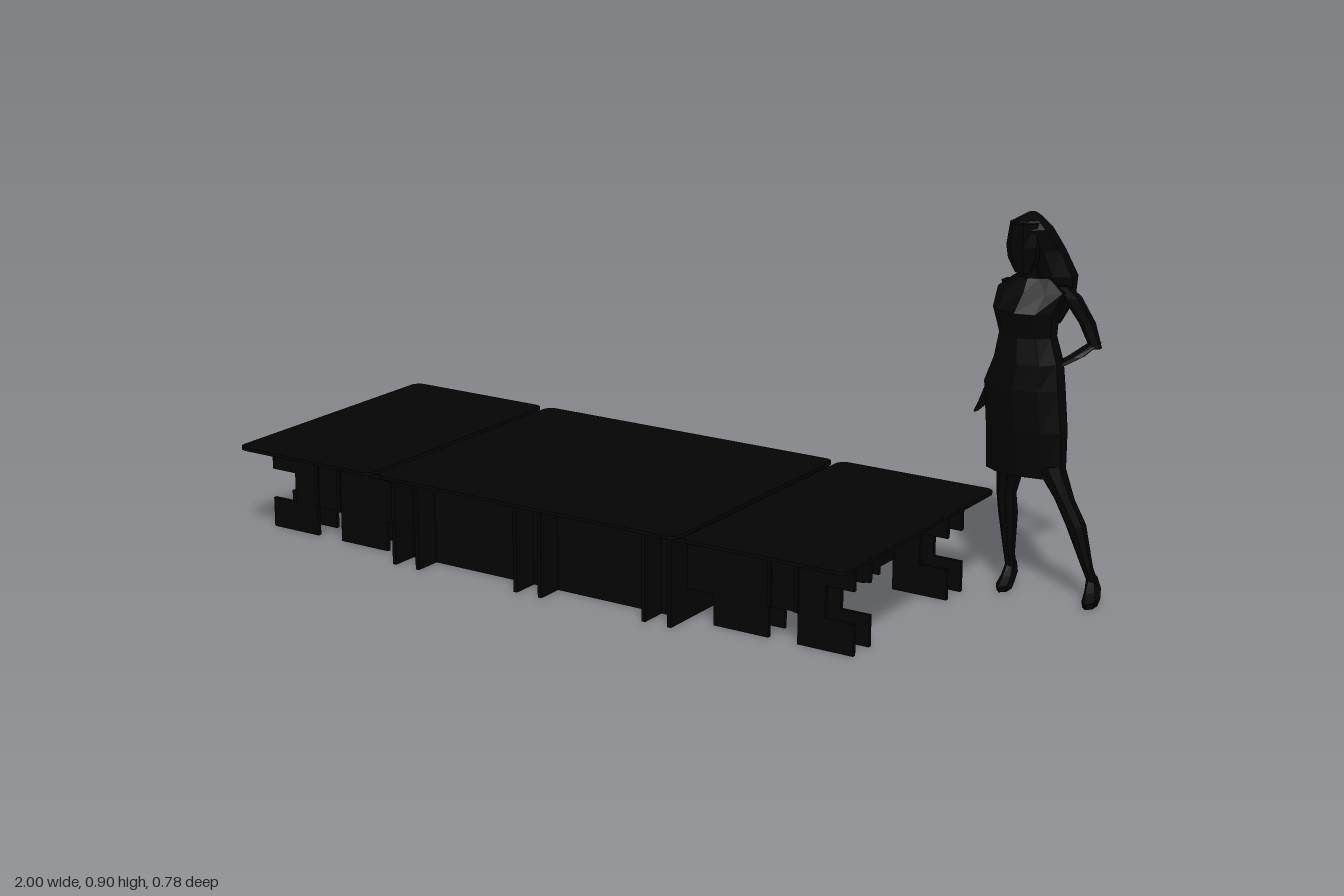
import * as THREE from 'three';

const BLACK = new THREE.MeshStandardMaterial({ color: 0x040404, flatShading: true });
const T = 0.01; // sheet thickness

export function createModel() {
  const model = new THREE.Group();

  function add(parent, name, geometry) {
    const mesh = new THREE.Mesh(geometry, BLACK);
    mesh.name = name;
    parent.add(mesh);
    return mesh;
  }

  // Flat sheet from an outline, with round holes, centred on its thickness
  function sheet(points, holes) {
    const shape = new THREE.Shape(points.map(([x, y]) => new THREE.Vector2(x, y)));
    for (const [x, y, r] of holes) {
      const hole = new THREE.Path();
      hole.absarc(x, y, r, 0, Math.PI * 2, true);
      shape.holes.push(hole);
    }
    const g = new THREE.ExtrudeGeometry(shape, { depth: T, bevelEnabled: false, curveSegments: 10 });
    return g.translate(0, 0, -T / 2);
  }

  // Table tops with rounded corners
  const table = new THREE.Group();
  table.name = 'table';
  model.add(table);
  function tableTop(x0, x1) {
    const z0 = -0.321, z1 = 0.39, r = 0.025, s = new THREE.Shape();
    s.absarc(x1 - r, -z0 - r, r, 0, Math.PI / 2);
    s.absarc(x0 + r, -z0 - r, r, Math.PI / 2, Math.PI);
    s.absarc(x0 + r, -z1 + r, r, Math.PI, Math.PI * 1.5);
    s.absarc(x1 - r, -z1 + r, r, Math.PI * 1.5, Math.PI * 2);
    const g = new THREE.ExtrudeGeometry(s, { depth: 0.008, bevelEnabled: false, curveSegments: 5 });
    add(table, 'tableTop', g.rotateX(-Math.PI / 2).translate(0, 0.219, 0));
  }
  tableTop(-1, -0.583);
  tableTop(-0.567, 0.287);
  tableTop(0.303, 0.722);

  // Strips below the joints between the tops
  for (const x of [-0.575, 0.295]) {
    add(table, 'joiningStrip', new THREE.BoxGeometry(0.07, 0.012, 0.655).translate(x, 0.213, 0.036));
  }

  // Long boards: notched ends and openings along the foot, mirrored about x = -0.14
  const H = 0.22, N = 0.075, MID = -0.14;
  const half = [[0.4, 0], [0.4, N], [0.47, N], [0.47, 0], [0.615, 0], [0.615, N], [0.69, N], [0.69, 0],
    [0.832, 0], [0.832, N], [0.76, N], [0.76, 0.15], [0.832, 0.15], [0.832, H]];
  const longOutline = [
    ...half.map(([x, y]) => [MID + x, y]),
    ...half.map(([x, y]) => [MID - x, y]).reverse(),
  ];
  const crossX = [-0.5, -0.14, 0.22];
  const longHoles = crossX.map((x) => [x, 0.11, 0.014]);
  for (const z of [0.255, -0.18]) {
    for (const d of [-0.035, 0.035]) {
      add(table, 'longBoard', sheet(longOutline, longHoles).translate(0, 0, z + d));
    }
  }
  const middleOutline = [[-0.54, 0], [0.26, 0], [0.26, H], [-0.54, H]];
  for (const z of [-0.004, 0.078]) {
    add(table, 'middleBoard', sheet(middleOutline, longHoles).translate(0, 0, z));
  }

  // Cross boards in pairs (outline runs along -z)
  const crossHoles = [[-0.255, 0.11, 0.014], [-0.037, 0.11, 0.014], [-0.037, 0.183, 0.014], [0.18, 0.11, 0.014]];
  const crossOutline = [[-0.363, 0], [-0.074, 0], [-0.074, N], [0, N], [0, 0], [0.29, 0], [0.29, H], [-0.363, H]];
  const endOutline = [[-0.3, N], [0.225, N], [0.225, H], [-0.3, H]];
  function crossPair(name, x, outline) {
    for (const d of [-0.035, 0.035]) {
      add(table, name, sheet(outline, crossHoles).rotateY(Math.PI / 2).translate(x + d, 0, 0));
    }
  }
  crossX.forEach((x) => crossPair('crossBoard', x, crossOutline));
  [-0.793, 0.513].forEach((x) => crossPair('endCrossBoard', x, endOutline));

  // Standing figure, lofted from level rings [x, y, z, radiusX, radiusZ], bottom to top
  const figure = new THREE.Group();
  figure.name = 'standingFigure';
  model.add(figure);
  function loft(name, rings, sides = 8) {
    const pos = [], index = [];
    for (const [x, y, z, rx, rz] of rings) {
      for (let i = 0; i < sides; i++) {
        const a = ((i + 0.5) / sides) * Math.PI * 2;
        pos.push(x + rx * Math.cos(a), y, z + rz * Math.sin(a));
      }
    }
    for (let k = 0; k < rings.length - 1; k++) {
      for (let i = 0; i < sides; i++) {
        const a = k * sides + i, b = k * sides + ((i + 1) % sides);
        index.push(a, a + sides, b, b, a + sides, b + sides);
      }
    }
    const top = (rings.length - 1) * sides;
    for (let i = 1; i < sides - 1; i++) {
      index.push(0, i, i + 1, top, top + i + 1, top + i);
    }
    const g = new THREE.BufferGeometry();
    g.setAttribute('position', new THREE.Float32BufferAttribute(pos, 3));
    g.setIndex(index);
    g.computeVertexNormals();
    add(figure, name, g);
  }

  loft('dress', [
    [0.805, 0.29, -0.303, 0.1, 0.045], [0.803, 0.4, -0.303, 0.1, 0.06],
    [0.795, 0.5, -0.302, 0.098, 0.067], [0.803, 0.56, -0.302, 0.083, 0.063],
    [0.8, 0.62, -0.3, 0.068, 0.056], [0.797, 0.68, -0.292, 0.078, 0.064],
    [0.805, 0.725, -0.308, 0.085, 0.05], [0.805, 0.755, -0.312, 0.045, 0.035],
  ], 10);
  loft('neck', [[0.803, 0.74, -0.305, 0.026, 0.028], [0.8, 0.79, -0.295, 0.026, 0.028]], 6);
  loft('head', [
    [0.795, 0.768, -0.275, 0.02, 0.018], [0.795, 0.8, -0.275, 0.036, 0.036],
    [0.795, 0.83, -0.278, 0.041, 0.047], [0.797, 0.885, -0.284, 0.036, 0.053],
  ]);
  loft('hair', [
    [0.83, 0.64, -0.355, 0.025, 0.012], [0.835, 0.7, -0.352, 0.055, 0.027],
    [0.83, 0.76, -0.332, 0.073, 0.04], [0.815, 0.82, -0.319, 0.06, 0.042],
    [0.803, 0.87, -0.297, 0.046, 0.053], [0.8, 0.89, -0.292, 0.03, 0.04],
    [0.8, 0.902, -0.3, 0.01, 0.014],
  ]);

  // Arms: the right one hangs, the left hand rests on the hip
  loft('rightArm', [
    [0.647, 0.4, -0.353, 0.005, 0.008], [0.658, 0.42, -0.37, 0.012, 0.018],
    [0.685, 0.49, -0.37, 0.012, 0.012], [0.717, 0.57, -0.37, 0.018, 0.017],
    [0.736, 0.66, -0.35, 0.02, 0.024], [0.742, 0.735, -0.322, 0.021, 0.024],
  ], 6);
  loft('leftUpperArm', [
    [0.942, 0.592, -0.36, 0.014, 0.015], [0.922, 0.65, -0.353, 0.019, 0.02],
    [0.89, 0.71, -0.335, 0.022, 0.024], [0.87, 0.738, -0.32, 0.018, 0.02],
  ], 6);
  loft('leftForearm', [
    [0.868, 0.55, -0.315, 0.018, 0.013], [0.905, 0.573, -0.335, 0.02, 0.014],
    [0.94, 0.605, -0.36, 0.015, 0.015],
  ], 6);

  // Legs
  loft('rightLeg', [
    [0.763, 0.03, -0.335, 0.012, 0.018], [0.762, 0.08, -0.32, 0.013, 0.016],
    [0.757, 0.18, -0.317, 0.022, 0.028], [0.757, 0.23, -0.305, 0.022, 0.028],
    [0.77, 0.32, -0.3, 0.035, 0.04],
  ]);
  loft('leftLeg', [
    [0.976, 0.03, -0.335, 0.012, 0.018], [0.962, 0.08, -0.32, 0.013, 0.016],
    [0.93, 0.18, -0.317, 0.023, 0.028], [0.905, 0.24, -0.305, 0.022, 0.028],
    [0.865, 0.32, -0.3, 0.035, 0.04],
  ]);

  // Feet: low wedges with a raised heel
  for (const [name, x, toe] of [['rightFoot', 0.765, 0.004], ['leftFoot', 0.978, 0.01]]) {
    loft(name, [
      [x + toe, 0, -0.285, 0.015, 0.027], [x + toe, 0.015, -0.29, 0.017, 0.038],
      [x, 0.03, -0.32, 0.014, 0.038], [x - toe, 0.052, -0.335, 0.011, 0.022],
    ], 6);
  }
  return model;
}
